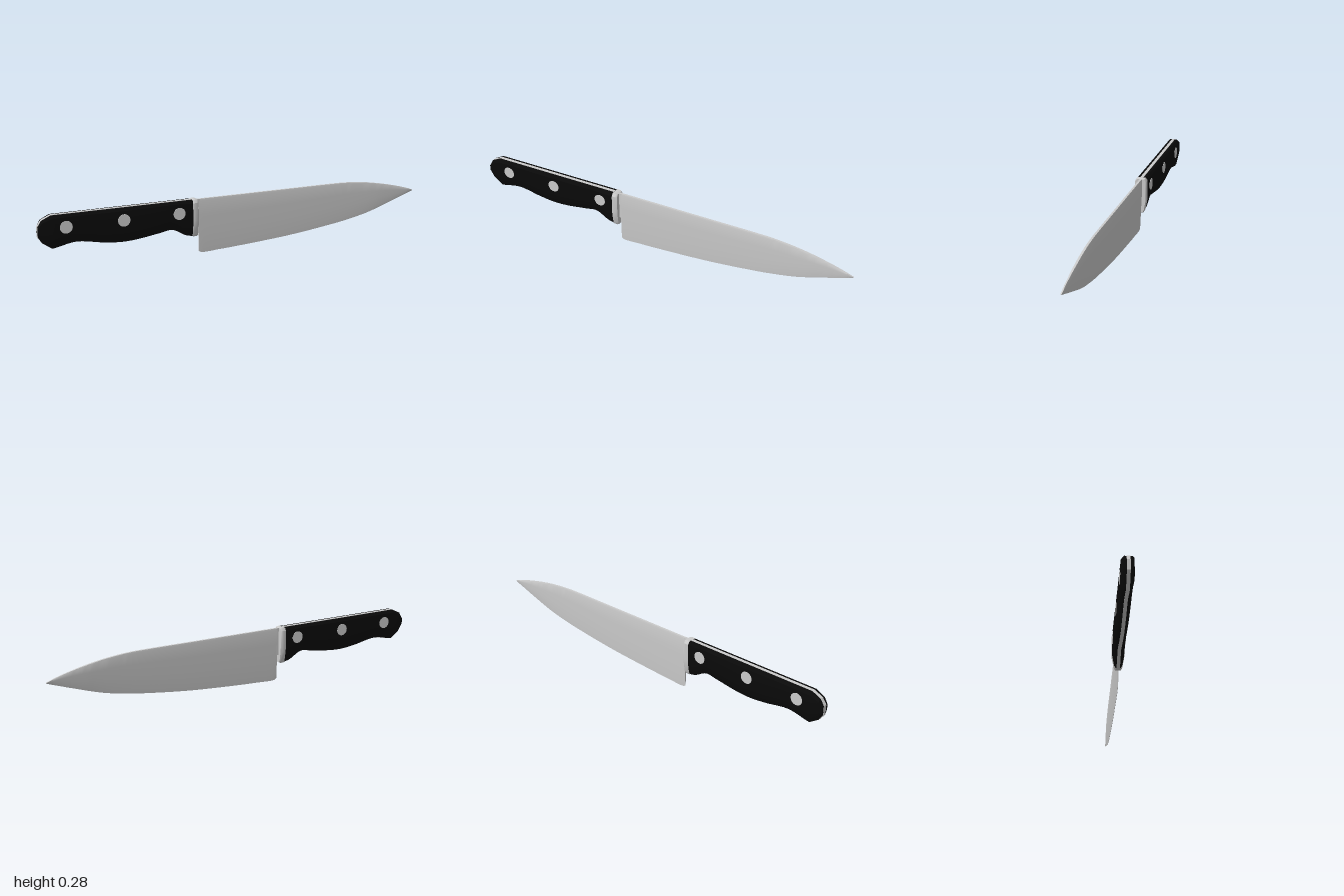
import * as THREE from 'three';
import { toCreasedNormals } from 'three/addons/utils/BufferGeometryUtils.js';

const steel = new THREE.MeshStandardMaterial({ color: 0xcccccc });
const black = new THREE.MeshStandardMaterial({ color: 0x0a0a0a });

// Smooth a list of [x, bottom, top] stations along the knife
const smooth = (stations, n) =>
  new THREE.CatmullRomCurve3(stations.map(s => new THREE.Vector3(...s))).getPoints(n).map(p => p.toArray());

// Loft symmetric cross-sections; section(x, bottom, top) lists [y, halfWidth] from bottom to top
function loft(stations, section, crease = 0.5) {
  const pos = [], idx = [];
  let n = 0;
  for (const [x, b, t] of stations) {
    const half = section(x, b, t);
    const ring = [...half.map(([y, w]) => [y, -w]), ...half.slice().reverse().map(([y, w]) => [y, w])];
    n = ring.length;
    ring.forEach(([y, z]) => pos.push(x, y, z));
  }
  const last = (stations.length - 1) * n;
  for (let r = 0; r < last; r += n) {
    for (let j = 0; j < n; j++) {
      const k = (j + 1) % n;
      idx.push(r + j, r + k, r + n + j, r + k, r + n + k, r + n + j);
    }
  }
  // end caps
  for (let j = 1; j < n - 1; j++) {
    idx.push(0, j + 1, j, last, last + j, last + j + 1);
  }
  const geo = new THREE.BufferGeometry();
  geo.setAttribute('position', new THREE.Float32BufferAttribute(pos, 3));
  geo.setIndex(idx);
  return toCreasedNormals(geo, crease);
}

// Grip section: tapered below, chamfered on top
const grip = (b, t, w) => {
  const h = t - b;
  return [[b, w * 0.42], [b + h * 0.07, w * 0.66], [b + h * 0.33, w * 0.95],
    [b + h * 0.45, w], [t - h * 0.08, w], [t, w * 0.7]];
};

export function createModel() {
  const model = new THREE.Group();
  const add = (name, geo, mat = steel) => {
    const mesh = new THREE.Mesh(geo, mat);
    mesh.name = name;
    model.add(mesh);
    return mesh;
  };

  // Blade: flat spine, curved belly, thinning to the edge and tip
  const blade = smooth([
    [-0.213, 0.008, 0.272], [-0.2, 0.001, 0.272], [-0.1, 0.004, 0.272], [0, 0.009, 0.272],
    [0.28, 0.029, 0.272], [0.5, 0.055, 0.272], [0.6, 0.07, 0.27], [0.73, 0.097, 0.257],
    [0.87, 0.142, 0.23], [0.96, 0.173, 0.206], [1, 0.187, 0.192],
  ], 70);
  add('blade', loft(blade, (x, b, t) => {
    const w = 0.007 * (x > 0.8 ? 1 - (x - 0.8) * 3 : 1), h = t - b;
    return [[b, 0.0006], [b + h * 0.1, w * 0.35], [b + h * 0.4, w * 0.75],
      [b + h * 0.7, w * 0.95], [t - h * 0.04, w], [t, w * 0.75]];
  }, 0.7));

  // Neck joining blade and bolster
  const neck = new THREE.BoxGeometry(0.03, 0.14, 0.013);
  neck.translate(-0.222, 0.202, 0);
  add('neck', neck);

  // Bolster with softened rims
  const bolster = [[-0.25, 0.092, 0.273], [-0.246, 0.09, 0.275], [-0.228, 0.09, 0.275], [-0.221, 0.094, 0.272]];
  add('bolster', loft(bolster, (x, b, t) => grip(b, t, x < -0.249 ? 0.029 : x > -0.225 ? 0.027 : 0.0305)));

  // Handle outline, butt to bolster
  const outline = [
    ...[[-1, 0.175, 0.225], [-0.98, 0.146, 0.254], [-0.935, 0.115, 0.275]],
    ...smooth([
      [-0.92, 0.117, 0.275], [-0.82, 0.135, 0.275], [-0.695, 0.115, 0.275], [-0.605, 0.106, 0.275],
      [-0.525, 0.11, 0.275], [-0.415, 0.126, 0.275], [-0.35, 0.134, 0.275], [-0.285, 0.1, 0.275],
      [-0.248, 0.091, 0.275],
    ], 40),
  ];
  add('tang', loft(outline, (x, b, t) => [[b, 0.008], [t, 0.008]]));

  // Black scales either side of the tang, set just inside its outline
  const inset = outline.map(([x, b, t]) => [Math.max(x, -0.998), b + 0.0015, t - 0.0015]);
  add('handleScales', loft(inset, (x, b, t) =>
    grip(b, t, 0.029 * (x < -0.99 ? 0.72 : x < -0.97 ? 0.88 : 1))), black);

  // Rivets through the handle
  for (const x of [-0.87, -0.595, -0.32]) {
    const rivet = add('rivet', new THREE.CylinderGeometry(0.03, 0.03, 0.061, 32));
    rivet.rotation.x = Math.PI / 2;
    rivet.position.set(x, 0.216, 0);
  }
  return model;
}
